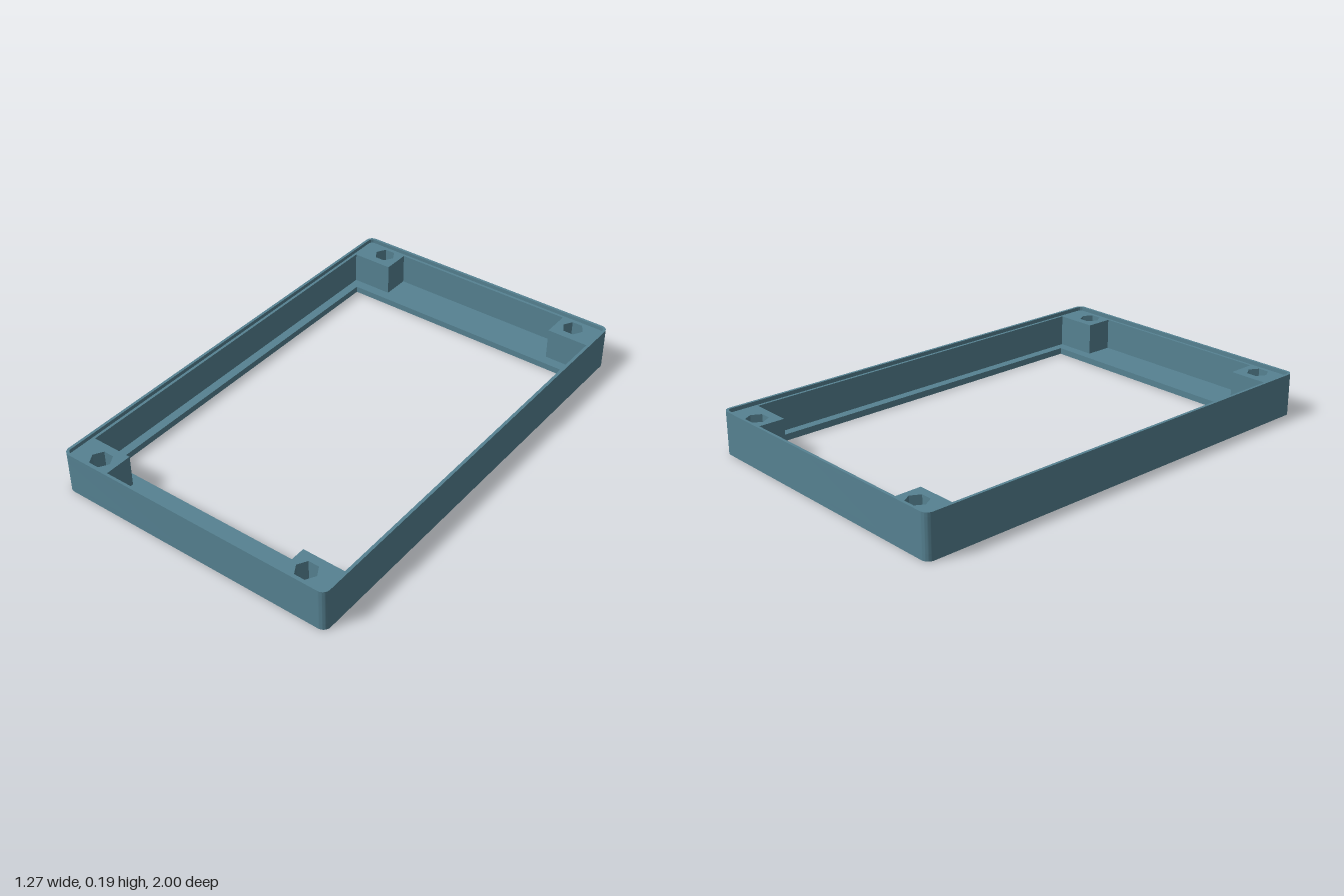
import * as THREE from 'three';
import { toCreasedNormals } from 'three/addons/utils/BufferGeometryUtils.js';

const HALF_X = 0.636, HALF_Z = 1;
const FLOOR_TOP = 0.028, LEDGE = 0.168, HEIGHT = 0.185;

// Rectangle with rounded corners, centred on the origin
function roundedRect(path, hx, hz, r) {
  path.moveTo(hx, -hz + r);
  path.lineTo(hx, hz - r);
  path.absarc(hx - r, hz - r, r, 0, Math.PI / 2);
  path.lineTo(-hx + r, hz);
  path.absarc(-hx + r, hz - r, r, Math.PI / 2, Math.PI);
  path.lineTo(-hx, -hz + r);
  path.absarc(-hx + r, -hz + r, r, Math.PI, Math.PI * 1.5);
  path.lineTo(hx - r, -hz);
  path.absarc(hx - r, -hz + r, r, Math.PI * 1.5, Math.PI * 2);
  return path;
}

function polygon(points) {
  return new THREE.Path(points.map(([x, y]) => new THREE.Vector2(x, y)));
}

// Hexagonal screw holes in the four corners
function screwHoles() {
  const holes = [];
  for (const sx of [-1, 1]) for (const sz of [-1, 1]) {
    const pts = [];
    for (let i = 0; i < 6; i++) {
      const a = i * Math.PI / 3;
      pts.push([sx * 0.502 + 0.047 * Math.cos(a), sz * 0.93 + 0.047 * Math.sin(a)]);
    }
    holes.push(polygon(pts));
  }
  return holes;
}

export function createModel() {
  const group = new THREE.Group();
  const material = new THREE.MeshStandardMaterial({ color: 0x568292 });
  material.name = 'slateTeal';

  // One horizontal slice of the frame, from y0 to y1
  function layer(name, holes, y0, y1) {
    const shape = roundedRect(new THREE.Shape(), HALF_X, HALF_Z, 0.032);
    shape.holes.push(...holes);
    const geo = new THREE.ExtrudeGeometry(shape, { depth: y1 - y0, bevelEnabled: false, curveSegments: 8 });
    geo.rotateX(-Math.PI / 2);
    geo.translate(0, y0, 0);
    const mesh = new THREE.Mesh(toCreasedNormals(geo, 0.6), material);
    mesh.name = name;
    group.add(mesh);
  }

  // Base flange with the large window
  const ox = 0.573, oz = 0.807;
  layer('baseFlange', [polygon([[ox, -oz], [ox, oz], [-ox, oz], [-ox, -oz]]), ...screwHoles()], 0, FLOOR_TOP);

  // Walls with a solid screw block in each corner
  const wx = 0.612, wz = 0.976, bx = 0.426, bz = 0.853;
  const cavity = polygon([
    [wx, -bz], [wx, bz], [bx, bz], [bx, wz], [-bx, wz], [-bx, bz],
    [-wx, bz], [-wx, -bz], [-bx, -bz], [-bx, -wz], [bx, -wz], [bx, -bz],
  ]);
  layer('wallsAndScrewBlocks', [cavity, ...screwHoles()], FLOOR_TOP, LEDGE);

  // Thin lip above the ledge
  layer('rimLip', [roundedRect(new THREE.Path(), 0.624, 0.988, 0.02)], LEDGE, HEIGHT);

  return group;
}
